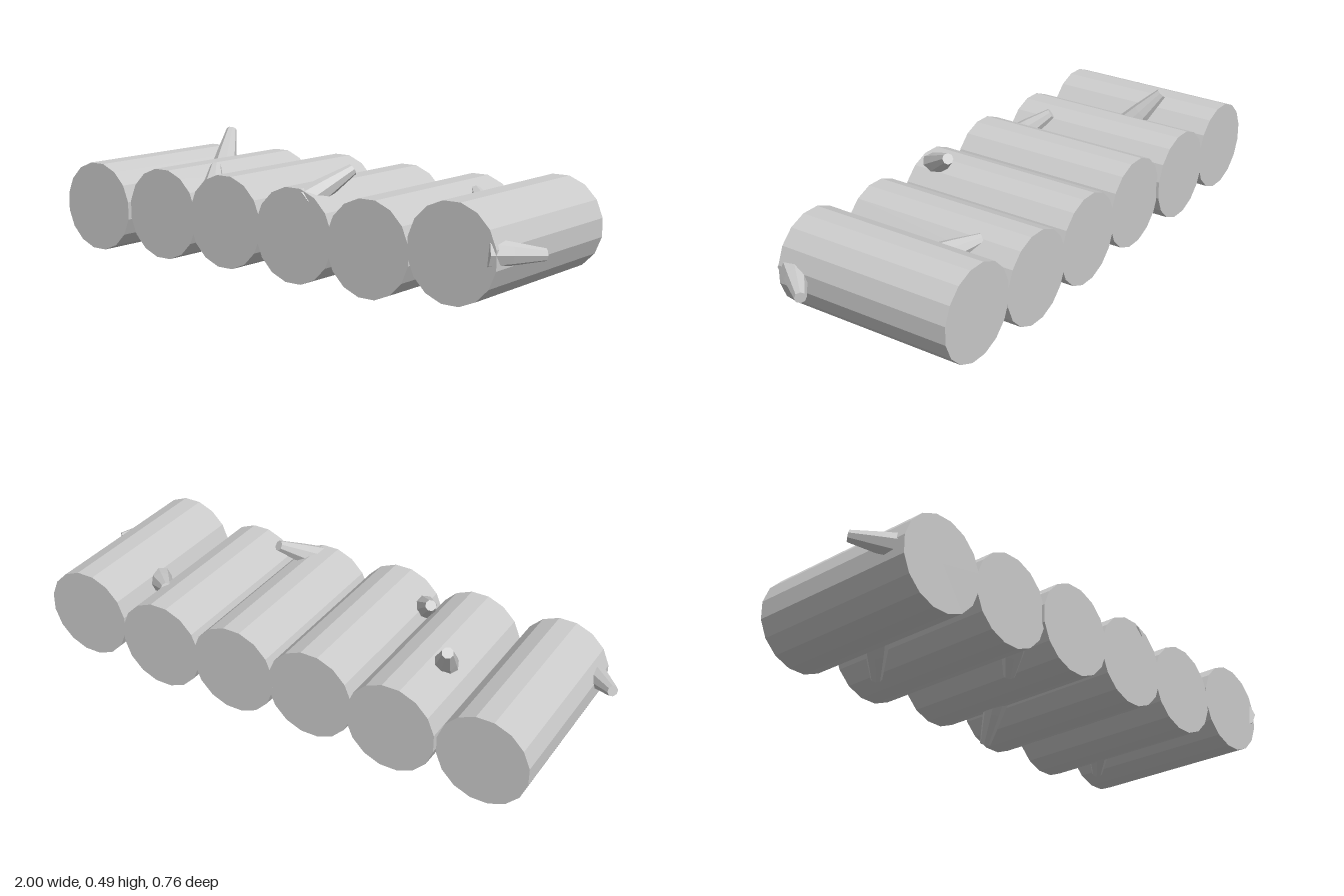
import * as THREE from 'three';

const material = new THREE.MeshStandardMaterial({ color: 0xcccccc, flatShading: true });
const YAW = -0.058;
const LENGTH = 0.637;
const RADIUS = 0.159;

// A sixteen-sided log lying along z, flat side down
function makeLog(x, y, slide) {
  const geometry = new THREE.CylinderGeometry(RADIUS, RADIUS, LENGTH, 16, 1, false, Math.PI / 16);
  geometry.rotateX(Math.PI / 2);
  const log = new THREE.Mesh(geometry, material);
  log.name = 'log';
  log.rotation.y = YAW;
  log.position.set(x, y, -0.002 - x * Math.sin(YAW) + slide);
  return log;
}

// A tapered branch stub from inside the log to a blunt tip
function makeStub(base, tip) {
  const a = new THREE.Vector3(...base);
  const b = new THREE.Vector3(...tip);
  const dir = b.clone().sub(a);
  const length = dir.length();
  const profile = [[0, -0.03], [0.046, -0.03], [0.036, length * 0.3], [0.019, length], [0, length]];
  const geometry = new THREE.LatheGeometry(profile.map(([r, h]) => new THREE.Vector2(r, h)), 8);
  const stub = new THREE.Mesh(geometry, material);
  stub.name = 'branchStub';
  stub.position.copy(a);
  stub.quaternion.setFromUnitVectors(new THREE.Vector3(0, 1, 0), dir.normalize());
  return stub;
}

export function createModel() {
  const raft = new THREE.Group();
  raft.name = 'logRaft';

  // Logs side by side: centre x, centre y, shift along z
  const logs = [
    [-0.751, 0.233, 0], [-0.434, 0.24, -0.01], [-0.134, 0.25, 0],
    [0.163, 0.242, 0], [0.458, 0.238, 0], [0.766, 0.267, 0],
  ];
  for (const [x, y, slide] of logs) raft.add(makeLog(x, y, slide));

  // Branch stubs: base, tip
  const stubs = [
    [[-0.89, 0.255, 0.21], [-0.99, 0.285, 0.1]],
    [[-0.5, 0.37, -0.12], [-0.54, 0.478, -0.21]],
    [[-0.275, 0.325, 0.22], [-0.335, 0.4, 0.13]],
    [[0.19, 0.37, 0.28], [0.27, 0.45, 0.17]],
    [[0.63, 0.325, -0.05], [0.545, 0.365, -0.14]],
    [[0.88, 0.28, 0.33], [0.985, 0.27, 0.22]],
    [[-0.065, 0.14, -0.09], [-0.015, 0.015, -0.18]],
    [[-0.63, 0.15, -0.12], [-0.54, 0.075, -0.2]],
    [[-0.34, 0.155, 0.2], [-0.28, 0.085, 0.135]],
    [[0.58, 0.17, -0.12], [0.685, 0.122, -0.2]],
  ];
  for (const [base, tip] of stubs) raft.add(makeStub(base, tip));

  return raft;
}
